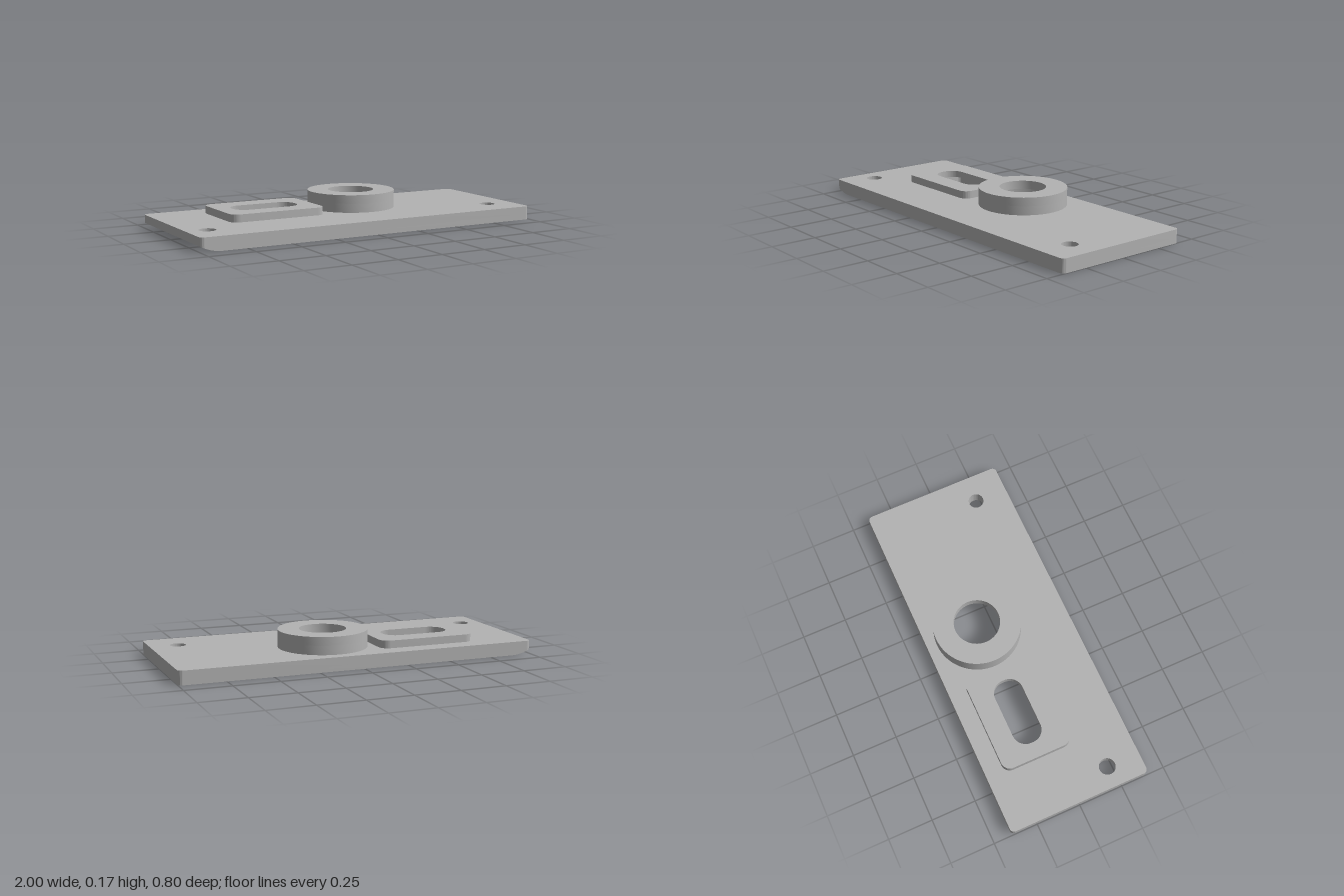
import * as THREE from 'three';
import { toCreasedNormals } from 'three/addons/utils/BufferGeometryUtils.js';

const T = 0.075;          // plate thickness
const STEP = 0.03;        // depth of the screw counterbore and height of the rounded end
const CORNER = 0.025;     // plan corner radius of the plate
const SPLIT = -0.79;      // where the rounded end meets the flat underside
const SCREW = { x: -0.885, z: 0.213, r: 0.045, bore: 0.086 };

// Plan outlines are drawn as (x, -z) and extruded upward.
function roundRect(path, x0, x1, z0, z1, r, rLeft = r) {
  const a = -z1, b = -z0, q = Math.PI / 2;
  path.moveTo(x0 + rLeft, a);
  path.lineTo(x1 - r, a);
  path.absarc(x1 - r, a + r, r, -q, 0);
  path.lineTo(x1, b - r);
  path.absarc(x1 - r, b - r, r, 0, q);
  path.lineTo(x0 + rLeft, b);
  if (rLeft > 0) path.absarc(x0 + rLeft, b - rLeft, rLeft, q, 2 * q);
  path.lineTo(x0, a + rLeft);
  if (rLeft > 0) path.absarc(x0 + rLeft, a + rLeft, rLeft, 2 * q, 3 * q);
  path.closePath();
  return path;
}
const circle = (path, x, z, r) => path.absarc(x, -z, r, 0, Math.PI * 2);

function slab(outline, holes, y0, y1) {
  outline.holes.push(...holes);
  const g = new THREE.ExtrudeGeometry(outline, { depth: y1 - y0, bevelEnabled: false, curveSegments: 32 });
  g.rotateX(-Math.PI / 2);
  g.translate(0, y0, 0);
  return toCreasedNormals(g, 0.5);
}

// Surface stretched between two edge curves sampled at the same stations.
function ribbon(a, b) {
  const pos = [], index = [];
  a.forEach((p, i) => {
    pos.push(...p, ...b[i]);
    if (i) index.push(2 * i - 2, 2 * i, 2 * i - 1, 2 * i - 1, 2 * i, 2 * i + 1);
  });
  const g = new THREE.BufferGeometry();
  g.setAttribute('position', new THREE.Float32BufferAttribute(pos, 3));
  g.setIndex(index);
  g.computeVertexNormals();
  return g;
}

export function createModel() {
  const model = new THREE.Group();
  const grey = new THREE.MeshStandardMaterial({ color: 0xb3b3b3, side: THREE.DoubleSide });
  grey.name = 'plain grey';
  const add = (name, geometry, parent = model) => {
    const mesh = new THREE.Mesh(geometry, grey);
    mesh.name = name;
    parent.add(mesh);
  };

  // Openings
  const screwHole = () => circle(new THREE.Path(), SCREW.x, SCREW.z, SCREW.r);
  const plainHole = () => circle(new THREE.Path(), 0.845, 0.213, 0.043);
  const bossBore = () => circle(new THREE.Path(), 0.122, -0.1, 0.21);
  const padRecess = () => roundRect(new THREE.Path(), -0.66, -0.18, -0.265, 0.065, 0.02);

  // Plate: upper layer full length, lower layer up to the rounded end
  add('plateUpper', slab(roundRect(new THREE.Shape(), -1, 1, -0.4, 0.4, CORNER),
    [screwHole(), plainHole(), bossBore(), padRecess()], STEP, T));
  add('plateLower', slab(roundRect(new THREE.Shape(), SPLIT, 1, -0.4, 0.4, CORNER, 0),
    [plainHole(), bossBore(), padRecess()], 0, STEP));

  // Rounded underside of the end, cut by the screw counterbore
  const end = new THREE.Group();
  end.name = 'roundedEnd';
  model.add(end);
  const xs = [];
  for (let i = 0; i <= 10; i++) xs.push(-1 + CORNER * (1 - Math.cos(i * Math.PI / 20)));
  for (let i = 0; i <= 32; i++) xs.push(SCREW.x - SCREW.bore * Math.cos(i * Math.PI / 32));
  xs.push(SPLIT);
  xs.sort((p, q) => p - q);
  const curveStart = -0.88, curveRadius = 0.255;
  const lift = x => {
    const d = Math.max(0, curveStart - x);
    return curveRadius - Math.sqrt(curveRadius ** 2 - d * d);
  };
  const edge = x => {
    const d = Math.max(0, -1 + CORNER - x);
    return 0.4 - CORNER + Math.sqrt(Math.max(0, CORNER ** 2 - d * d));
  };
  const chord = x => Math.sqrt(Math.max(0, SCREW.bore ** 2 - (x - SCREW.x) ** 2));
  for (const s of [1, -1]) {
    const outer = x => s * edge(x);
    const inner = x => SCREW.z + s * chord(x);
    const line = (z, y) => xs.map(x => [x, y(x), z(x)]);
    const top = () => STEP;
    const parts = [
      ['endUnderside', line(outer, lift), line(inner, lift)],
      ['endSideWall', line(outer, top), line(outer, lift)],
      ['counterboreWall', line(inner, lift), line(inner, top)],
    ];
    for (const [name, a, b] of parts) add(name, s > 0 ? ribbon(a, b) : ribbon(b, a), end);
  }
  // Narrow upright face at the tip
  const tip = 0.4 - CORNER;
  add('endTip', ribbon([[-1, lift(-1), -tip], [-1, lift(-1), tip]], [[-1, STEP, -tip], [-1, STEP, tip]]), end);

  // Raised pad with a slot, hollow below
  const padOutline = () => roundRect(new THREE.Shape(), -0.695, -0.145, -0.3, 0.097, 0.05);
  add('padRim', slab(padOutline(), [padRecess()], T, 0.08));
  add('padTop', slab(padOutline(),
    [roundRect(new THREE.Path(), -0.61, -0.23, -0.182, -0.02, 0.075)], 0.08, 0.117));

  // Round boss with a through hole, counterbored from below
  const bossOutline = () => circle(new THREE.Shape(), 0.122, -0.1, 0.244);
  add('bossWall', slab(bossOutline(), [bossBore()], T, 0.125));
  add('bossTop', slab(bossOutline(), [circle(new THREE.Path(), 0.122, -0.1, 0.128)], 0.125, 0.172));

  return model;
}
